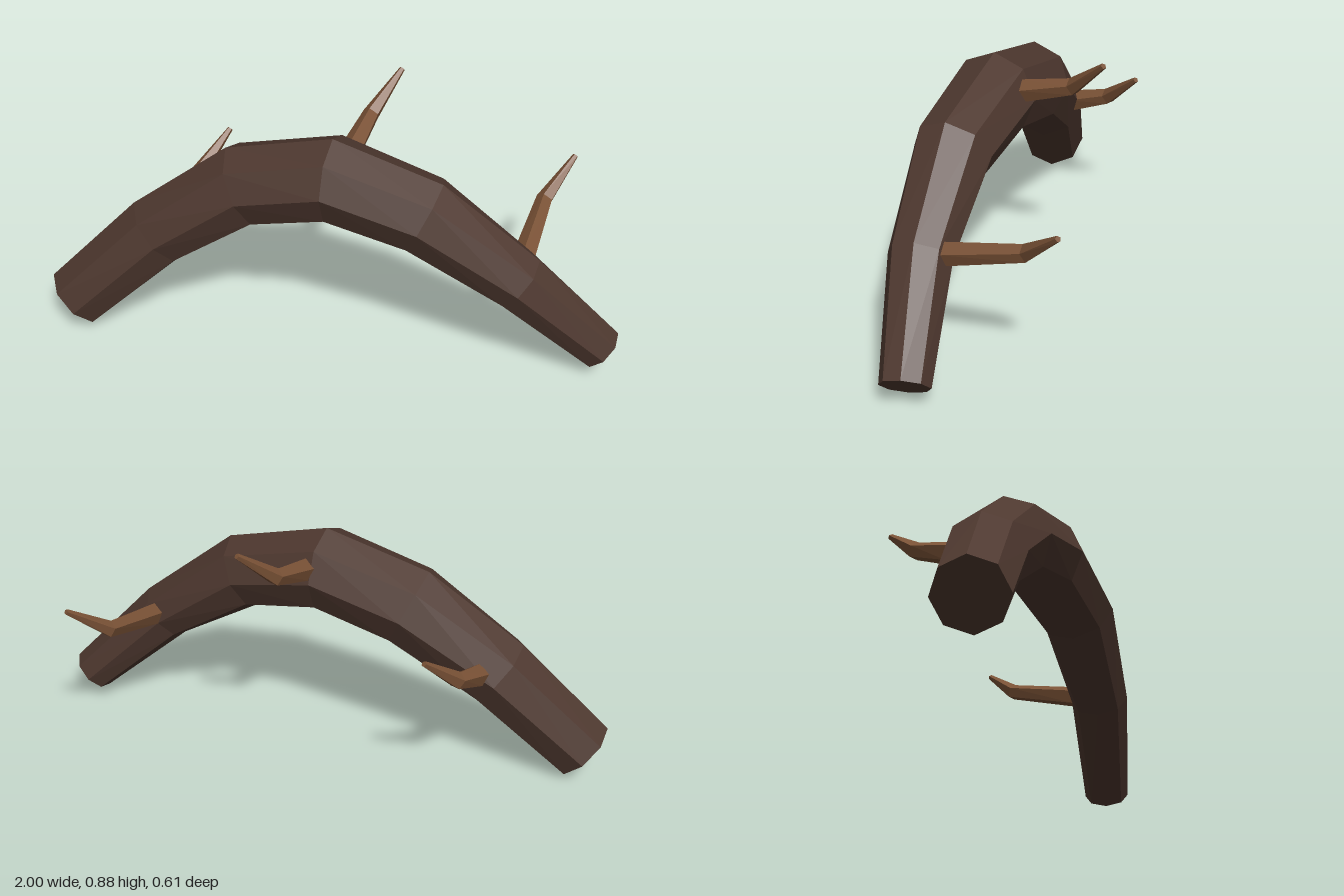
import * as THREE from 'three';

// Faceted tube through points, with a radius per point and closed ends.
function loft(points, radii, sides) {
  const pts = points.map(p => new THREE.Vector3(...p));
  const last = pts.length - 1;
  const rings = pts.map((c, i) => {
    const t = pts[Math.min(i + 1, last)].clone().sub(pts[Math.max(i - 1, 0)]).normalize();
    const n = new THREE.Vector3(0, 1, 0).addScaledVector(t, -t.y).normalize();
    const b = t.clone().cross(n);
    return Array.from({ length: sides }, (_, j) => {
      const a = (j / sides) * Math.PI * 2;
      return c.clone()
        .addScaledVector(n, Math.cos(a) * radii[i])
        .addScaledVector(b, Math.sin(a) * radii[i]);
    });
  });
  const tris = [];
  for (let j = 0; j < sides; j++) {
    const k = (j + 1) % sides;
    for (let i = 0; i < last; i++) {
      const p = rings[i], q = rings[i + 1];
      tris.push(p[j], p[k], q[k], p[j], q[k], q[j]);
    }
    tris.push(pts[0], rings[0][k], rings[0][j]);
    tris.push(pts[last], rings[last][j], rings[last][k]);
  }
  // Unshared corners give flat facets
  const geometry = new THREE.BufferGeometry().setFromPoints(tris);
  geometry.computeVertexNormals();
  return geometry;
}

export function createModel() {
  const group = new THREE.Group();
  group.name = 'archedBranch';

  const bark = new THREE.MeshStandardMaterial({ color: 0x4e382f });
  bark.name = 'dark bark';
  const twigWood = new THREE.MeshStandardMaterial({ color: 0x7a5236 });
  twigWood.name = 'light twig wood';

  // Arched, gently swaying limb, tapering towards its left end
  const limb = new THREE.Mesh(loft([
    [-0.92, 0.093, 0.12], [-0.61, 0.385, 0.077], [-0.3, 0.595, 0.068], [0.01, 0.672, 0.111],
    [0.325, 0.595, 0.165], [0.645, 0.375, 0.178], [0.945, 0.093, 0.138],
  ], [0.119, 0.132, 0.147, 0.15, 0.136, 0.106, 0.082], 8), bark);
  limb.name = 'limb';
  group.add(limb);

  // Bent twigs along the back: base, elbow, tip
  const twigs = {
    rightTwig: [[-0.565, 0.425, -0.045], [-0.52, 0.473, -0.18], [-0.43, 0.588, -0.3]],
    middleTwig: [[0.055, 0.713, -0.007], [0.1, 0.763, -0.18], [0.19, 0.882, -0.3]],
    leftTwig: [[0.66, 0.405, 0.085], [0.715, 0.473, -0.18], [0.81, 0.588, -0.3]],
  };
  for (const [name, path] of Object.entries(twigs)) {
    const twig = new THREE.Mesh(loft(path, [0.04, 0.03, 0.01], 5), twigWood);
    twig.name = name;
    group.add(twig);
  }
  return group;
}
